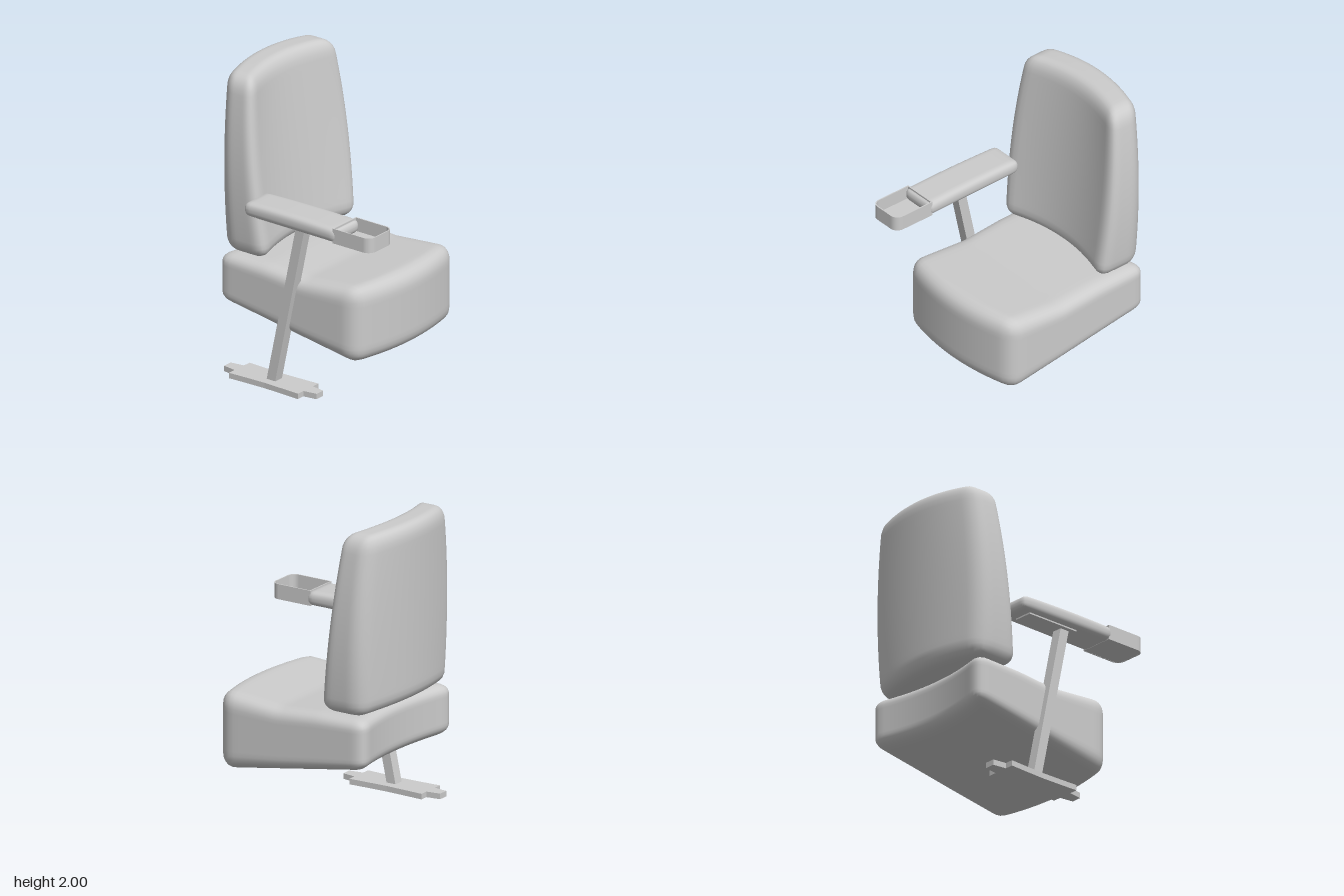
import * as THREE from 'three';
import { mergeVertices } from 'three/addons/utils/BufferGeometryUtils.js';

const material = new THREE.MeshStandardMaterial({ color: 0xcccccc });
const thinMaterial = new THREE.MeshStandardMaterial({ color: 0xcccccc, side: THREE.DoubleSide });
const { lerp, clamp } = THREE.MathUtils;

function addMesh(group, name, geometry, mat = material) {
  const mesh = new THREE.Mesh(geometry, mat);
  mesh.name = name;
  group.add(mesh);
  return mesh;
}

// Finely divided rounded box, reshaped by a rule and smoothly shaded
function cushion([w, h, d], radius, [nx, ny, nz], reshape) {
  const box = new THREE.BoxGeometry(w, h, d, nx, ny, nz);
  box.deleteAttribute('normal');
  box.deleteAttribute('uv');
  const geometry = mergeVertices(box);
  const pos = geometry.attributes.position;
  const half = new THREE.Vector3(w / 2 - radius, h / 2 - radius, d / 2 - radius);
  const low = half.clone().negate();
  const p = new THREE.Vector3(), inner = new THREE.Vector3();
  for (let i = 0; i < pos.count; i++) {
    p.fromBufferAttribute(pos, i);
    inner.copy(p).clamp(low, half);
    p.sub(inner).setLength(radius).add(inner);
    reshape(p);
    pos.setXYZ(i, p.x, p.y, p.z);
  }
  geometry.computeVertexNormals();
  return geometry;
}

// Value on a line of [position, value] points
function along(points, s) {
  let i = 0;
  while (i < points.length - 2 && s > points[i + 1][0]) i++;
  const [[a, va], [b, vb]] = [points[i], points[i + 1]];
  return lerp(va, vb, clamp((s - a) / (b - a), 0, 1));
}

// Flat plate from a plan outline; shape y runs towards the back
function plate(shape, bottom, height) {
  const geometry = new THREE.ExtrudeGeometry(shape, { depth: height, bevelEnabled: false, curveSegments: 6 });
  return geometry.rotateX(-Math.PI / 2).translate(0, bottom, 0);
}

function roundedOutline(Type, x0, x1, y0, y1, r) {
  const s = new Type();
  s.moveTo(x0 + r, y0);
  s.lineTo(x1 - r, y0);
  s.absarc(x1 - r, y0 + r, r, -Math.PI / 2, 0);
  s.lineTo(x1, y1);
  s.lineTo(x0, y1);
  s.lineTo(x0, y0 + r);
  s.absarc(x0 + r, y0 + r, r, Math.PI, Math.PI * 1.5);
  return s;
}

export function createModel() {
  const group = new THREE.Group();
  const centreX = 0.06, armX = -0.44, postX = -0.455;

  // Seat: wedge bowed towards the front, with a dipped top
  const seatTop = [[-0.63, 0.785], [-0.25, 0.78], [0.05, 0.757], [0.47, 0.795], [0.56, 0.79]];
  const seatBottom = [[-0.63, 0.455], [0.43, 0.28], [0.56, 0.28]];
  addMesh(group, 'seatCushion', cushion([1.02, 0.5, 1.115], 0.095, [28, 16, 30], (p) => {
    const u = p.x / 0.51, t = p.y / 0.5 + 0.5;
    p.z += -0.0775 + 0.08 * (1 - u * u);
    p.y = lerp(along(seatBottom, p.z), along(seatTop, p.z), t);
    p.x += centreX;
  }));

  // Backrest: bowed towards the rear, thinner and narrower at the top
  addMesh(group, 'backrest', cushion([1.02, 1.21, 0.3], 0.09, [28, 32, 12], (p) => {
    const u = p.x / 0.51, t = p.y / 1.21 + 0.5;
    const y = 0.805 + 1.195 * t;
    const front = -0.255 - 0.124 * (y - 0.9);
    const rear = -0.585 - 0.022 * (y - 0.9);
    p.z = lerp(rear, front, p.z / 0.3 + 0.5) - 0.085 * (1 - u * u);
    p.x = centreX + p.x * (1 - 0.12 * ((y - 1.25) / 0.7) ** 2);
    p.y = y - 0.018 * u * u;
  }));

  // Armrest pad, slightly wider at the front
  addMesh(group, 'armrest', cushion([0.26, 0.1, 0.75], 0.04, [14, 8, 28], (p) => {
    p.x = armX + p.x * (0.96 + 0.1 * p.z);
    p.y += 1.19 - (p.y > 0 ? 0.05 * p.z * p.z : 0);
    p.z += 0.045;
  }));

  // Open tray at the armrest's front
  const tray = new THREE.Group();
  tray.name = 'tray';
  const wall = roundedOutline(THREE.Shape, -0.56, -0.32, -0.69, -0.39, 0.055);
  wall.holes.push(roundedOutline(THREE.Path, -0.552, -0.328, -0.682, -0.398, 0.047));
  addMesh(tray, 'trayWall', plate(wall, 1.14, 0.1), thinMaterial);
  addMesh(tray, 'trayFloor', plate(roundedOutline(THREE.Shape, -0.556, -0.324, -0.686, -0.394, 0.051), 1.141, 0.008));
  group.add(tray);

  // Mounting plate under the armrest
  const mount = addMesh(group, 'armrestMount', new THREE.BoxGeometry(0.13, 0.02, 0.4));
  mount.position.set(postX, 1.14, -0.05);

  // Leaning post
  const post = new THREE.BoxGeometry(0.07, 1.12, 0.068);
  post.applyMatrix4(new THREE.Matrix4().set(1, 0, 0, postX, 0, 1, 0, 0.59, 0, 0.213, 1, -0.04, 0, 0, 0, 1));
  addMesh(group, 'post', post);

  // Foot plate with a waist and a narrow tab at each end
  const corner = [[0.095, 0], [0.1, 0.16], [0.105, 0.275], [0.048, 0.275], [0.034, 0.37]];
  const outline = [[1, 1], [-1, 1], [-1, -1], [1, -1]].flatMap(([sx, sy]) => {
    const points = corner.map(([x, y]) => new THREE.Vector2(postX + sx * x, 0.163 + sy * y));
    return sx * sy > 0 ? points : points.reverse();
  });
  addMesh(group, 'footPlate', plate(new THREE.Shape(outline), 0, 0.037));

  return group;
}
